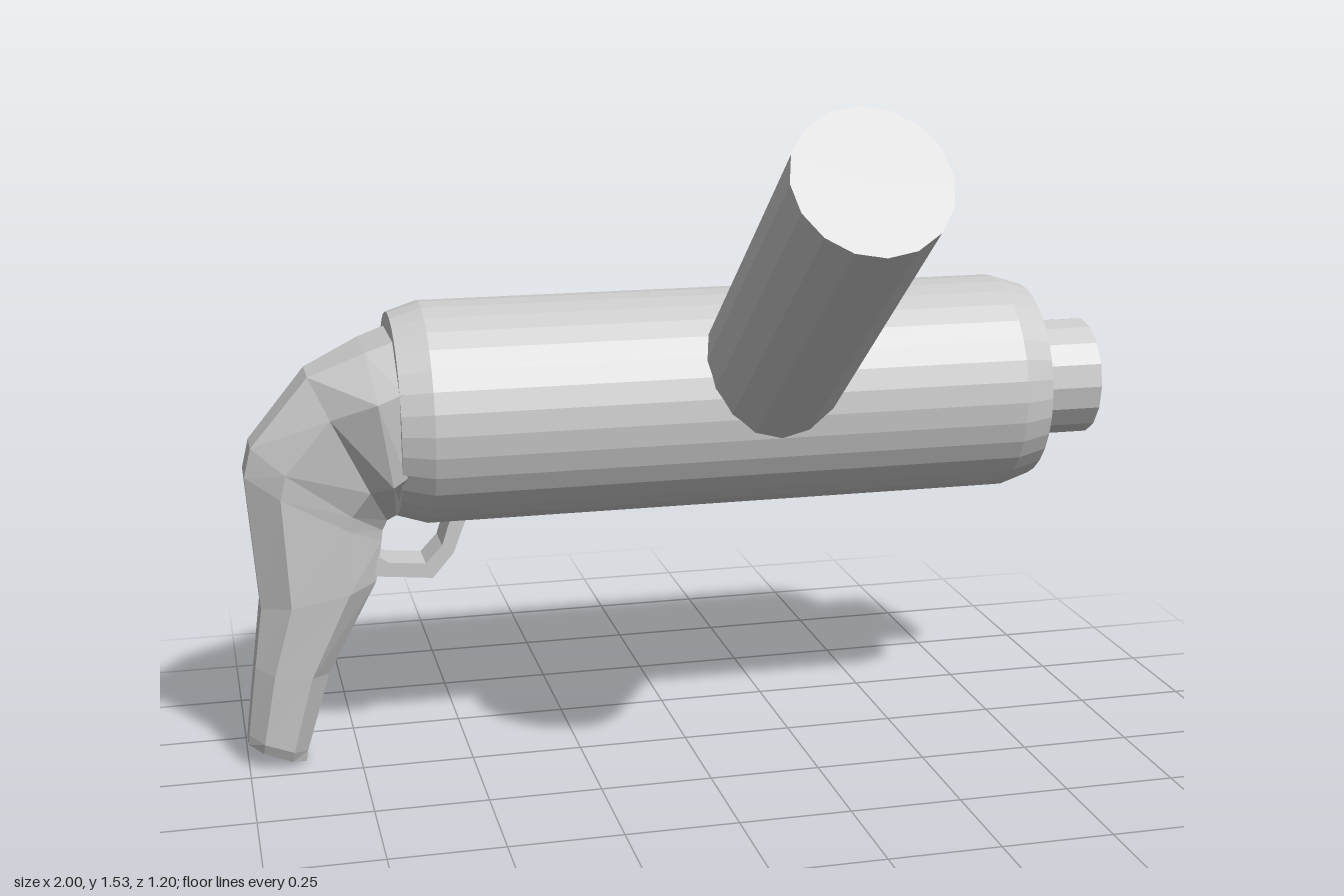
import * as THREE from 'three';

const AXIS_Y = 0.8, AXIS_Z = -0.35;
const material = new THREE.MeshStandardMaterial({ color: 0xcccccc, flatShading: true });

function part(name, geometry) {
  const mesh = new THREE.Mesh(geometry, material);
  mesh.name = name;
  return mesh;
}

// Turned part lying along x; profile is [radius, x]
function turned(name, profile, sides) {
  const geometry = new THREE.LatheGeometry(profile.map(([r, x]) => new THREE.Vector2(r, x)), sides);
  geometry.rotateZ(-Math.PI / 2);
  geometry.translate(0, AXIS_Y, AXIS_Z);
  return part(name, geometry);
}

// Eight-sided loft; each section is [backX, backY, frontX, frontY, halfWidth]
function gripGeometry(sections) {
  const ring = [[1, 0.45], [0.5, 1], [-0.5, 1], [-1, 0.45], [-1, -0.45], [-0.5, -1], [0.5, -1], [1, -0.45]];
  const n = ring.length, positions = [], index = [];
  for (const [bx, by, fx, fy, w] of sections) {
    for (const [u, v] of ring) {
      positions.push((bx + fx) / 2 + u * (bx - fx) / 2, (by + fy) / 2 + u * (by - fy) / 2, AXIS_Z + v * w);
    }
  }
  for (let i = 0; i < sections.length - 1; i++) {
    for (let j = 0; j < n; j++) {
      const a = i * n + j, b = i * n + (j + 1) % n;
      index.push(a, a + n, b, b, a + n, b + n);
    }
  }
  // End caps
  const last = (sections.length - 1) * n;
  for (let j = 1; j < n - 1; j++) {
    index.push(0, j, j + 1, last, last + j + 1, last + j);
  }
  const geometry = new THREE.BufferGeometry();
  geometry.setAttribute('position', new THREE.Float32BufferAttribute(positions, 3));
  geometry.setIndex(index);
  geometry.computeVertexNormals();
  return geometry;
}

export function createModel() {
  const model = new THREE.Group();
  model.name = 'blaster';

  // Main barrel with bevelled ends
  model.add(turned('body', [
    [0, -0.65], [0.228, -0.65], [0.25, -0.58], [0.25, 0.77], [0.228, 0.84], [0, 0.84],
  ], 32));

  // Hollow muzzle
  model.add(turned('muzzle', [
    [0.137, 0.82], [0.137, 1], [0.112, 1], [0.112, 0.845], [0, 0.845],
  ], 16));

  // Slanted canister, rooted inside the body
  const top = new THREE.Vector3(0.19, 1.403, 0.503);
  const direction = new THREE.Vector3(0, 0.593, 0.805).normalize();
  const length = 1.0;
  const canister = part('canister', new THREE.CylinderGeometry(0.164, 0.164, length, 16));
  canister.quaternion.setFromUnitVectors(new THREE.Vector3(0, 1, 0), direction);
  canister.position.copy(top).addScaledVector(direction, -length / 2);
  model.add(canister);

  // Curved grip, from the body down to the butt
  model.add(part('grip', gripGeometry([
    [-0.64, 0.985, -0.64, 0.61, 0.213],
    [-0.71, 0.96, -0.655, 0.59, 0.205],
    [-0.834, 0.905, -0.672, 0.57, 0.13],
    [-0.963, 0.75, -0.682, 0.545, 0.108],
    [-0.979, 0.685, -0.685, 0.52, 0.104],
    [-0.957, 0.38, -0.7, 0.425, 0.1],
    [-0.976, 0.24, -0.813, 0.214, 0.086],
    [-0.997, 0.08, -0.868, 0.03, 0.072],
    [-1, 0.055, -0.872, 0.003, 0.06],
  ])));

  // Trigger guard strap
  const strap = new THREE.Shape([
    [-0.72, 0.44], [-0.67, 0.435], [-0.573, 0.425], [-0.525, 0.48], [-0.49, 0.57],
    [-0.527, 0.57], [-0.55, 0.5], [-0.588, 0.46], [-0.67, 0.468], [-0.72, 0.5],
  ].map(([x, y]) => new THREE.Vector2(x, y)));
  const guard = new THREE.ExtrudeGeometry(strap, { depth: 0.1, bevelEnabled: false });
  guard.translate(0, 0, AXIS_Z - 0.05);
  model.add(part('triggerGuard', guard));

  return model;
}
